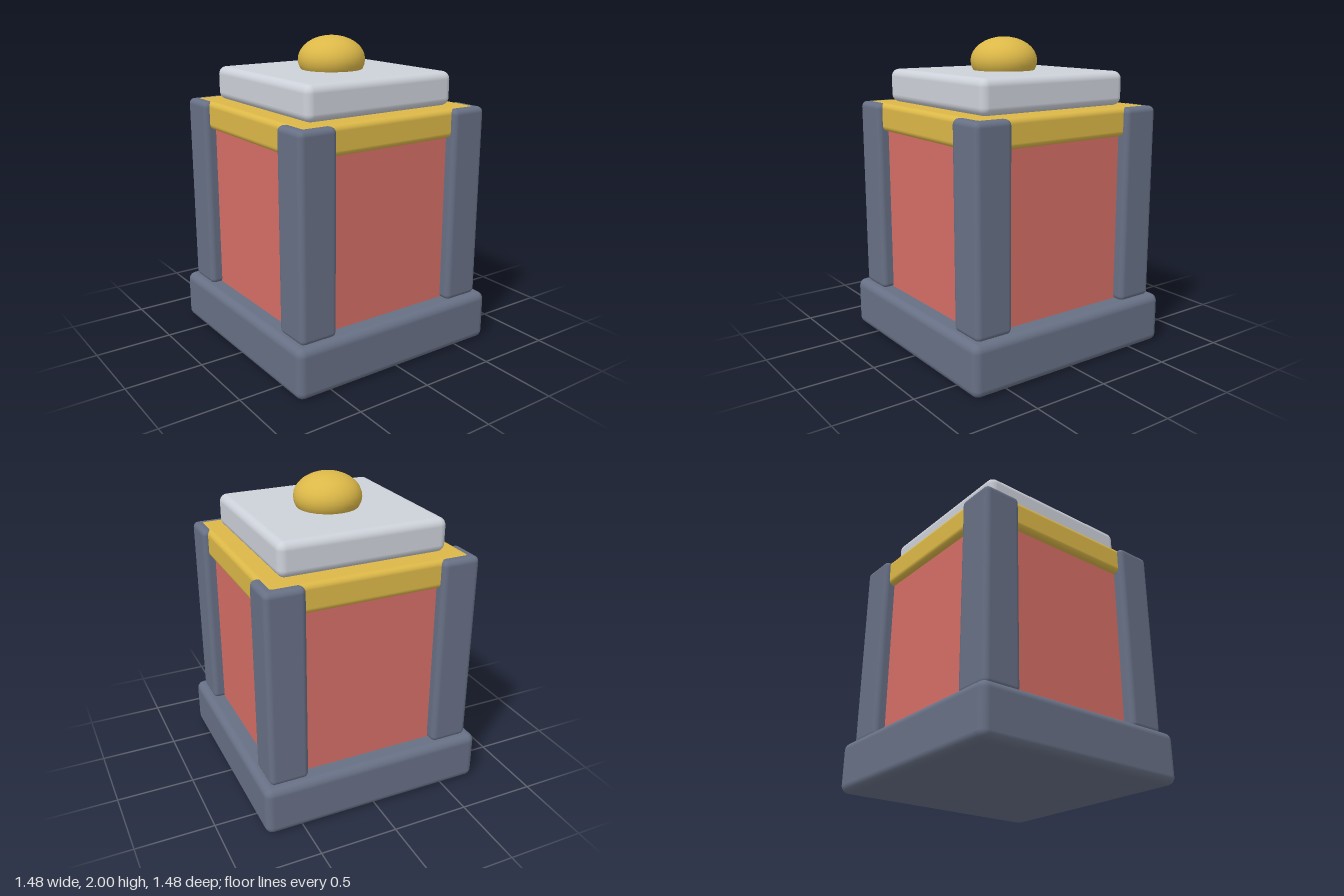
import * as THREE from 'three';
import { RoundedBoxGeometry } from 'three/addons/geometries/RoundedBoxGeometry.js';

function material(name, color) {
  const m = new THREE.MeshStandardMaterial({ color });
  m.name = name;
  return m;
}

export function createModel() {
  const model = new THREE.Group();
  model.name = 'squareLantern';

  const slate = material('slate', 0x677085);
  const red = material('red', 0xd56e66);
  const gold = material('gold', 0xdcb848);
  const pale = material('paleGrey', 0xcdd1d9);

  // Square rounded block between two heights
  const block = (name, width, y0, y1, radius, mat, x = 0, z = 0) => {
    const mesh = new THREE.Mesh(new RoundedBoxGeometry(width, y1 - y0, width, 3, radius), mat);
    mesh.name = name;
    mesh.position.set(x, (y0 + y1) / 2, z);
    model.add(mesh);
  };

  block('base', 1.48, 0, 0.325, 0.05, slate);
  block('body', 1.23, 0.29, 1.5, 0.035, red);

  // Corner posts
  for (const x of [-1, 1]) {
    for (const z of [-1, 1]) {
      block('cornerPost', 0.252, 0.315, 1.574, 0.035, slate, x * 0.562, z * 0.562);
    }
  }

  // The band's top sits just proud of the posts
  block('band', 1.31, 1.395, 1.576, 0.035, gold);
  block('cap', 1.084, 1.575, 1.79, 0.05, pale);

  // Flattened knob sunk into the cap
  const knob = new THREE.Mesh(new THREE.SphereGeometry(0.215, 24, 16), gold);
  knob.name = 'knob';
  knob.scale.y = 0.7;
  knob.position.y = 1.85;
  model.add(knob);

  return model;
}
